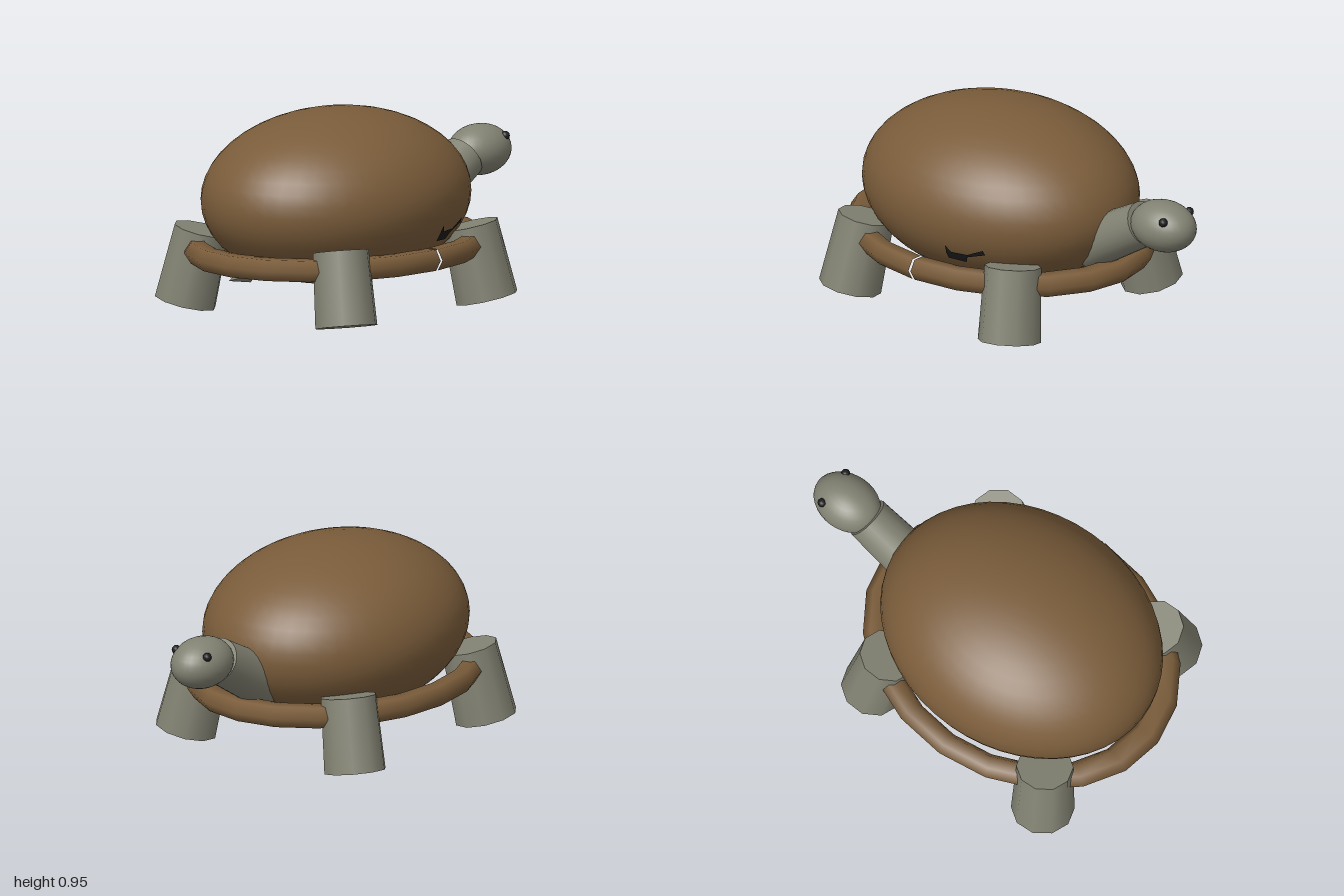
import * as THREE from 'three';

const paint = (name, color) => {
  const m = new THREE.MeshStandardMaterial({ color });
  m.name = name;
  return m;
};

export function createModel() {
  const group = new THREE.Group();
  group.name = 'turtle';
  const brown = paint('shellBrown', 0x7a5c3a);
  const grey = paint('skinGrey', 0x828273);
  const black = paint('eyeBlack', 0x1c1c1c);

  const add = (name, geometry, material) => {
    const mesh = new THREE.Mesh(geometry, material);
    mesh.name = name;
    group.add(mesh);
    return mesh;
  };
  const ellipsoid = (name, material, pos, radii, detail = 32) => {
    const mesh = add(name, new THREE.SphereGeometry(1, detail, detail / 2), material);
    mesh.position.set(...pos);
    mesh.scale.set(...radii);
    return mesh;
  };
  // Tapered cylinder running between two points
  const limb = (name, from, to, rFrom, rTo, sides) => {
    const a = new THREE.Vector3(...from), b = new THREE.Vector3(...to);
    const axis = b.clone().sub(a);
    const mesh = add(name, new THREE.CylinderGeometry(rTo, rFrom, axis.length(), sides), grey);
    mesh.position.copy(a).add(b).multiplyScalar(0.5);
    mesh.quaternion.setFromUnitVectors(new THREE.Vector3(0, 1, 0), axis.normalize());
    return mesh;
  };

  // Shell
  const center = [0, 0.54, 0.2], radii = [0.575, 0.413, 0.714];
  ellipsoid('shell', brown, center, radii, 48);

  // Oval rim with a narrow seam on one side
  const rimGeometry = new THREE.TorusGeometry(0.598, 0.058, 6, 20, Math.PI * 2 - 0.016);
  rimGeometry.rotateX(Math.PI / 2);
  rimGeometry.scale(1, 1, 1.22);
  const rim = add('shellRim', rimGeometry, brown);
  rim.position.set(0, 0.3, 0.2);

  // Four splayed legs, mirrored about the shell centre
  for (const sx of [1, -1]) {
    for (const sz of [1, -1]) {
      const name = (sz < 0 ? 'front' : 'back') + (sx > 0 ? 'Left' : 'Right') + 'Leg';
      limb(name, [0.505 * sx, 0.036, 0.2 + 0.503 * sz], [0.435 * sx, 0.385, 0.2 + 0.463 * sz], 0.15, 0.135, 10);
    }
  }

  // Neck and head
  limb('neck', [0, 0.39, -0.36], [0, 0.593, -0.71], 0.122, 0.108, 24);
  ellipsoid('head', grey, [0, 0.613, -0.827], [0.134, 0.122, 0.173]);
  for (const sx of [1, -1]) {
    ellipsoid(sx > 0 ? 'leftEye' : 'rightEye', black, [0.092 * sx, 0.678, -0.907], [0.022, 0.022, 0.022], 12);
  }

  // Small pointed tail
  const tail = limb('tail', [0, 0.255, 0.82], [0, 0.232, 0.965], 0.052, 0.001, 4);
  tail.geometry = tail.geometry.toNonIndexed();
  tail.geometry.computeVertexNormals();

  // Thin dark mark lying on the left side of the shell
  const outline = [[0.06, 0.44], [0.07, 0.39], [0.07, 0.36], [-0.02, 0.355], [-0.04, 0.39],
    [-0.135, 0.42], [-0.13, 0.445], [-0.045, 0.405], [0.04, 0.405]];
  const markGeometry = new THREE.ShapeGeometry(new THREE.Shape(outline.map(p => new THREE.Vector2(...p))));
  const pos = markGeometry.attributes.position;
  for (let i = 0; i < pos.count; i++) {
    const z = pos.getX(i), y = pos.getY(i);
    const u = (y - center[1]) / radii[1], w = (z - center[2]) / radii[2];
    pos.setXYZ(i, radii[0] * Math.sqrt(1 - u * u - w * w) + 0.008, y, z);
  }
  markGeometry.computeVertexNormals();
  const markMaterial = black;
  markMaterial.side = THREE.DoubleSide;
  add('shellMark', markGeometry, markMaterial);

  return group;
}
